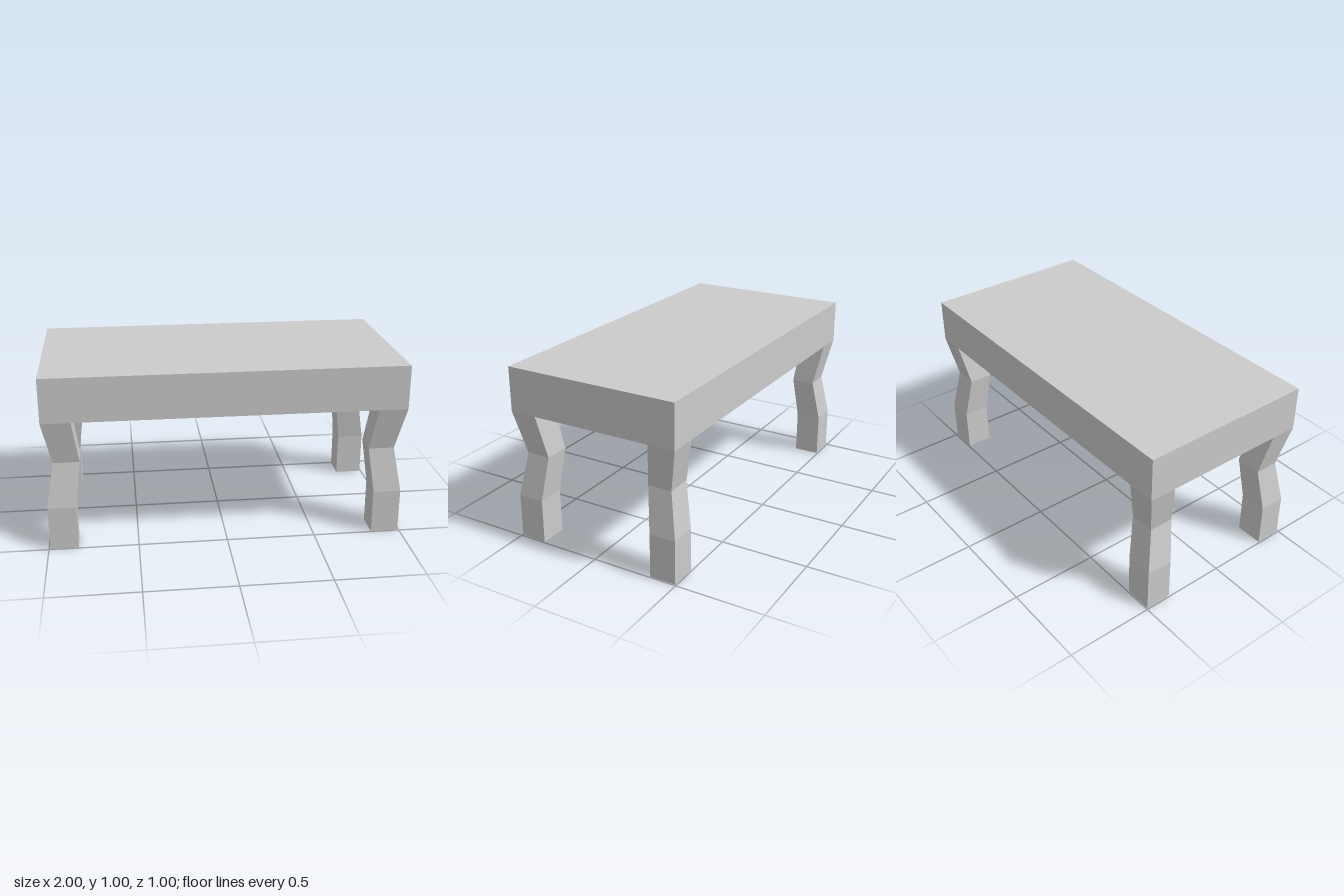
import * as THREE from 'three';

const material = new THREE.MeshStandardMaterial({ color: 0xcccccc, flatShading: true });

// Leg sections from floor to tabletop: height, outer and inner x, outer and inner z
const sections = [
  { y: 0, x: [0.993, 0.836], z: [0.494, 0.344] },
  { y: 0.25, x: [0.993, 0.836], z: [0.494, 0.344] },
  { y: 0.5, x: [0.95, 0.805], z: [0.45, 0.314] },
  { y: 0.747, x: [1, 0.838], z: [0.5, 0.347] },
];

// A box with three storeys whose corners are moved onto the leg sections
function legGeometry(sx, sz) {
  const geometry = new THREE.BoxGeometry(1, 1, 1, 1, 3, 1);
  const p = geometry.attributes.position;
  for (let i = 0; i < p.count; i++) {
    const s = sections[Math.round((p.getY(i) + 0.5) * 3)];
    const x = s.x[p.getX(i) * sx > 0 ? 0 : 1];
    const z = s.z[p.getZ(i) * sz > 0 ? 0 : 1];
    p.setXYZ(i, sx * x, s.y, sz * z);
  }
  geometry.computeVertexNormals();
  return geometry;
}

export function createModel() {
  const table = new THREE.Group();
  table.name = 'table';

  // Thick tabletop
  const top = new THREE.Mesh(new THREE.BoxGeometry(2, 0.25, 1), material);
  top.name = 'tabletop';
  top.position.y = 0.872;
  table.add(top);

  // Four bent legs, mirrored to the corners
  for (const sx of [1, -1]) {
    for (const sz of [1, -1]) {
      const leg = new THREE.Mesh(legGeometry(sx, sz), material);
      leg.name = (sz > 0 ? 'front' : 'back') + (sx > 0 ? 'Left' : 'Right') + 'Leg';
      table.add(leg);
    }
  }
  return table;
}
